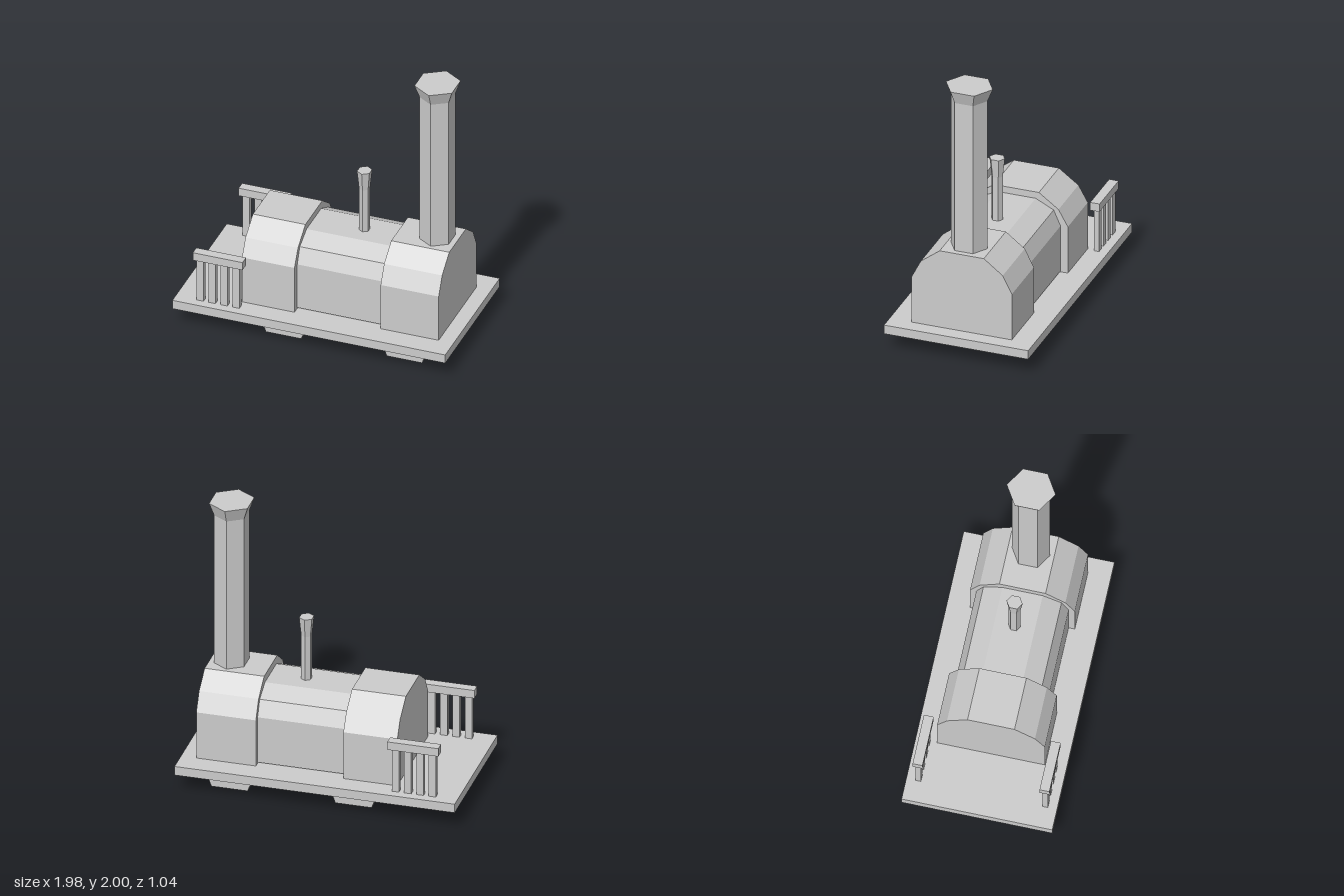
import * as THREE from 'three';

const material = new THREE.MeshStandardMaterial({ color: 0xcccccc, flatShading: true });

export function createModel() {
  const model = new THREE.Group();
  model.name = 'steamLocomotive';

  const add = (name, geometry, x = 0, y = 0, z = 0, parent = model) => {
    const mesh = new THREE.Mesh(geometry, material);
    mesh.name = name;
    mesh.position.set(x, y, z);
    parent.add(mesh);
    return mesh;
  };
  const extrude = (points, depth) => new THREE.ExtrudeGeometry(
    new THREE.Shape(points.map(([x, y]) => new THREE.Vector2(x, y))),
    { depth, bevelEnabled: false });

  // Flat running plate
  add('basePlate', new THREE.BoxGeometry(1.975, 0.066, 1.045), 0, 0.158, 0);

  // Tapered wheel blocks under the plate
  for (const [name, x] of [['rearWheelBlock', -0.233], ['frontWheelBlock', 0.641]]) {
    const taper = [[-0.128, 0], [0.128, 0], [0.174, 0.126], [-0.174, 0.126]];
    add(name, extrude(taper, 0.768), x, 0, -0.38);
  }

  // Body sections: faceted arch (half profile, mirrored) swept along x
  const bodySection = (name, x0, x1, half) => {
    const mirrored = half.map(([z, y]) => [-z, y]).reverse();
    add(name, extrude([...half, ...mirrored], x1 - x0).rotateY(Math.PI / 2), x0);
  };
  bodySection('firebox', -0.54, -0.16, [[0.373, 0.19], [0.373, 0.545], [0.305, 0.665], [0.163, 0.769]]);
  bodySection('boiler', -0.162, 0.462, [[0.32, 0.198], [0.32, 0.542], [0.27, 0.655], [0.14, 0.72]]);
  bodySection('smokebox', 0.46, 0.88, [[0.363, 0.19], [0.363, 0.54], [0.297, 0.67], [0.16, 0.775]]);

  // Hexagonal pipes with a flared top, a little narrower along x
  const pipe = (name, x, bottom, neck, top, shaftRadius, lipRadius) => {
    const group = new THREE.Group();
    group.name = name;
    group.position.x = x;
    group.scale.x = 0.92;
    model.add(group);
    add('shaft', new THREE.CylinderGeometry(shaftRadius, shaftRadius, neck - bottom, 6),
      0, (neck + bottom) / 2, 0, group);
    add('flare', new THREE.CylinderGeometry(lipRadius, shaftRadius, top - neck, 6),
      0, (top + neck) / 2, 0, group);
  };
  pipe('chimney', 0.735, 0.765, 1.905, 2, 0.132, 0.17);
  pipe('steamPipe', 0.207, 0.71, 1.05, 1.188, 0.041, 0.056);

  // Railings on both sides of the rear platform
  for (const [name, z] of [['leftRailing', 0.44], ['rightRailing', -0.44]]) {
    const railing = new THREE.Group();
    railing.name = name;
    railing.position.z = z;
    model.add(railing);
    add('handrail', new THREE.BoxGeometry(0.36, 0.06, 0.068), -0.678, 0.542, 0, railing);
    for (let i = 0; i < 4; i++) {
      add('post', new THREE.BoxGeometry(0.05, 0.33, 0.038), -0.811 + i * 0.0865, 0.35, 0, railing);
    }
  }
  return model;
}
